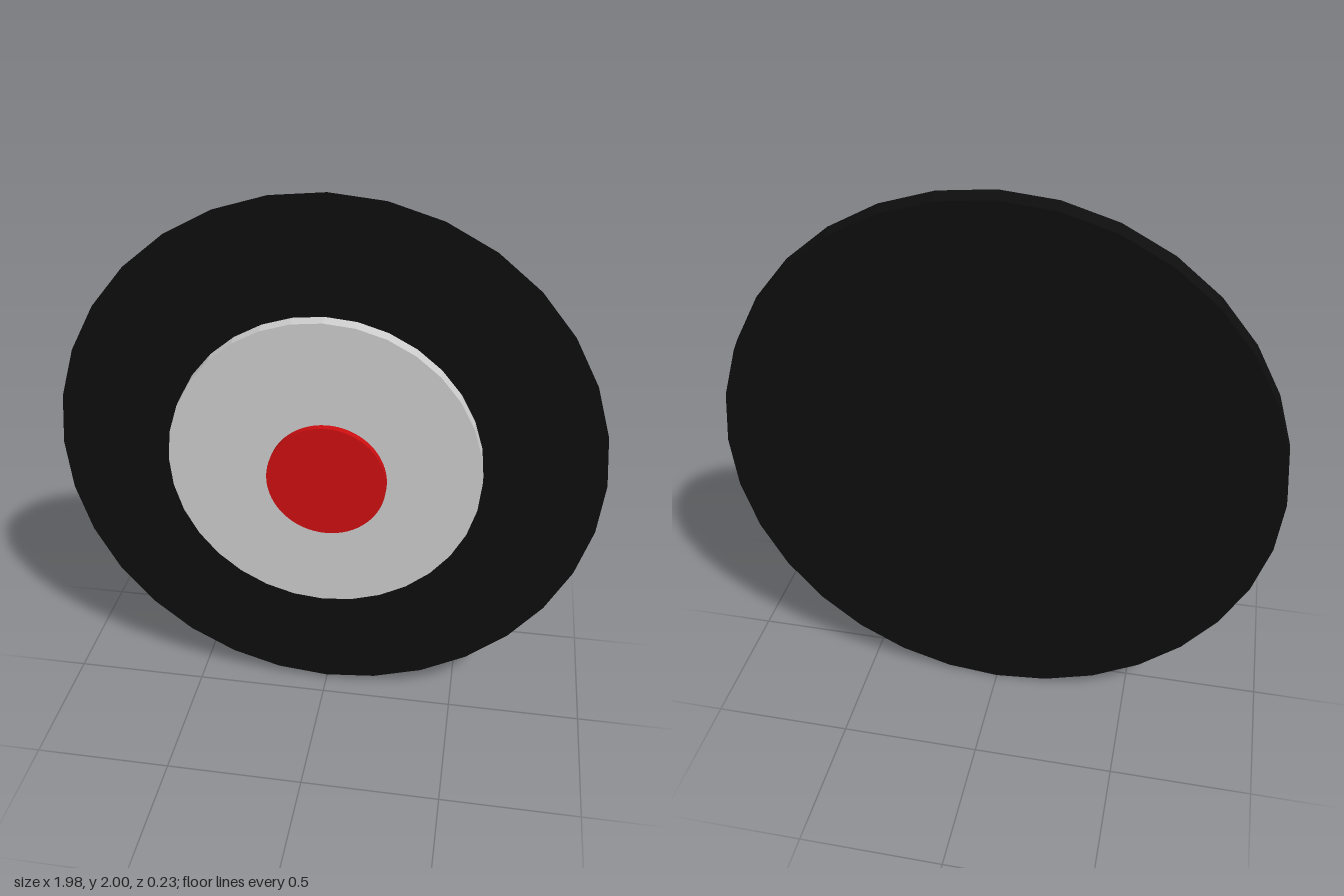
import * as THREE from 'three';

// Disc facing +z; lean is how far the front rim sits above the back rim
function disc(name, { x, y, z, radius, depth, sides, lean = 0, color, flat = false }) {
  const geometry = new THREE.CylinderGeometry(radius, radius, depth, sides);
  geometry.rotateX(Math.PI / 2);
  const shear = new THREE.Matrix4();
  shear.elements[9] = lean / depth; // y grows with z
  geometry.applyMatrix4(shear);
  const material = new THREE.MeshStandardMaterial({ color, flatShading: flat });
  const mesh = new THREE.Mesh(geometry, material);
  mesh.name = name;
  mesh.position.set(x, y, z);
  return mesh;
}

export function createModel() {
  const model = new THREE.Group();
  model.name = 'target';

  // Three separate discs, floating one in front of the other
  model.add(
    disc('outerDisc', {
      x: 0, y: 1, z: -0.094, radius: 0.99, depth: 0.038, sides: 32, lean: 0.02, color: 0x0d0d0d, flat: true,
    }),
    disc('middleDisc', {
      x: 0.005, y: 1.05, z: 0.021, radius: 0.556, depth: 0.042, sides: 32, lean: -0.006, color: 0xcccccc, flat: true,
    }),
    disc('centreDisc', {
      x: 0.027, y: 1.045, z: 0.1, radius: 0.209, depth: 0.026, sides: 64, color: 0xcc0e10,
    }),
  );
  return model;
}
